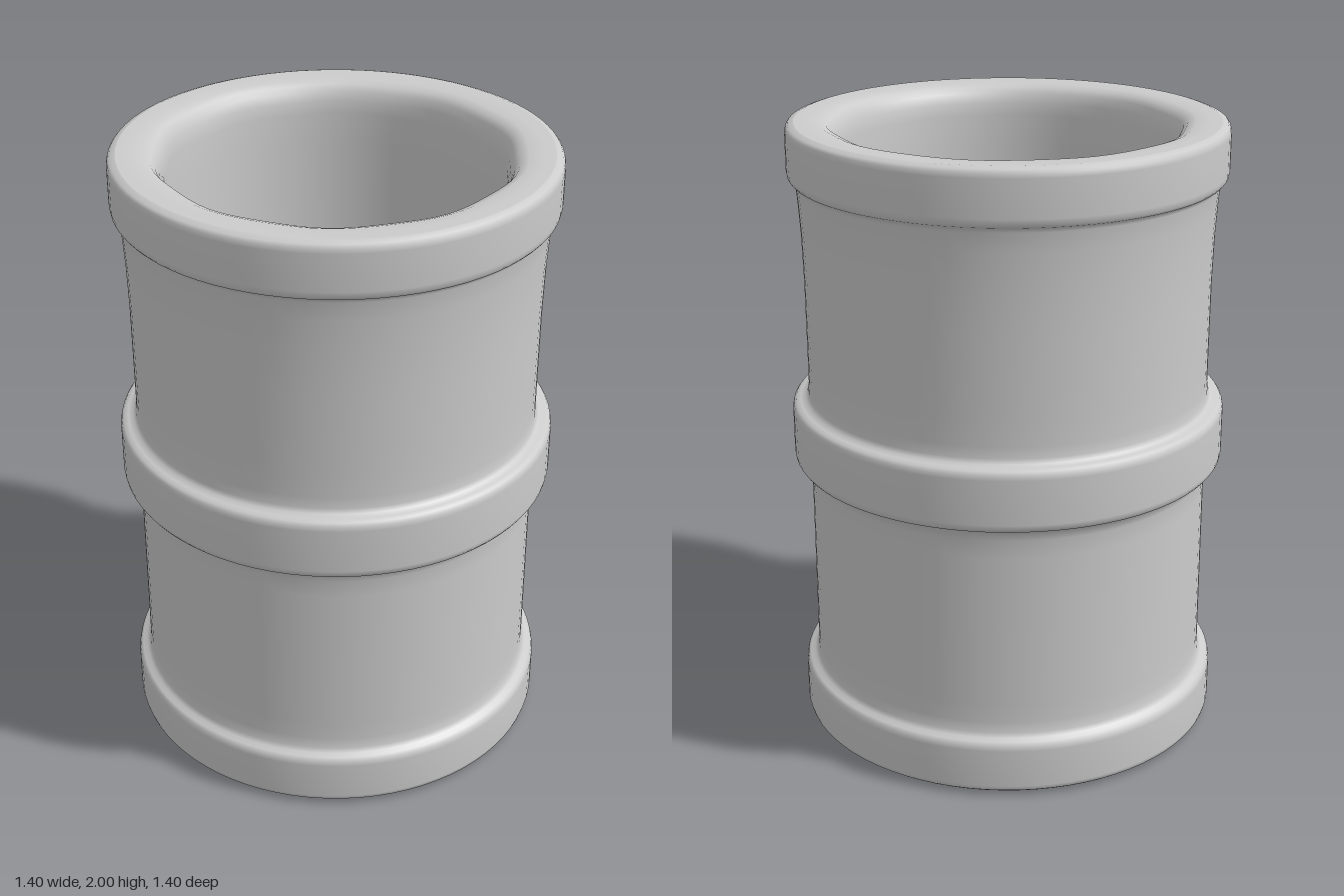
import * as THREE from 'three';

const material = new THREE.MeshStandardMaterial({ color: 0xcccccc });

function lathe(name, points) {
  const profile = points.map(([r, y]) => new THREE.Vector2(r, y));
  const mesh = new THREE.Mesh(new THREE.LatheGeometry(profile, 80, Math.PI / 2), material);
  mesh.name = name;
  return mesh;
}

// Rounded hoop section, listed upwards, blending into the wall at both ends
const hoop = (r, y0, y1) => [
  [r - 0.025, y0], [r - 0.01, y0 + 0.005], [r - 0.003, y0 + 0.015], [r, y0 + 0.03],
  [r, y1 - 0.03], [r - 0.003, y1 - 0.015], [r - 0.01, y1 - 0.005], [r - 0.025, y1],
];

export function createModel() {
  const group = new THREE.Group();
  group.name = 'barrel';

  // Outer shell: base, foot hoop, lower wall, middle hoop, upper wall, rim hoop
  group.add(lathe('outerShell', [
    [0, 0], [0.23, 0.002], [0.6, 0.01], [0.655, 0.01],
    [0.675, 0.013], [0.684, 0.02], [0.688, 0.035],
    [0.688, 0.16], [0.684, 0.177], [0.675, 0.186], [0.66, 0.192],
    [0.65, 0.205], [0.646, 0.24], [0.646, 0.3],
    [0.645, 0.8], [0.647, 0.86], [0.655, 0.89],
    ...hoop(0.698, 0.902, 1.105),
    [0.655, 1.11], [0.648, 1.125], [0.645, 1.16], [0.645, 1.25],
    [0.646, 1.5], [0.65, 1.65], [0.656, 1.75], [0.661, 1.81],
    [0.668, 1.823], [0.678, 1.828], [0.685, 1.837], [0.688, 1.855],
    [0.688, 1.97], [0.685, 1.985], [0.678, 1.994], [0.66, 2],
  ]));

  // Rim top rolling over into the hollow, with a floor near the bottom
  const inner = lathe('rimAndHollow', [
    [0.66, 2], [0.62, 2], [0.58, 1.997], [0.555, 1.988], [0.54, 1.97],
    [0.53, 1.94], [0.525, 1.9], [0.525, 1.8], [0.525, 0.3],
    [0.522, 0.22], [0.51, 0.18], [0.47, 0.16], [0.4, 0.155], [0, 0.155],
  ]);

  // The opening is a softly rounded decagon, fading to a circle on the rim
  const p = inner.geometry.attributes.position;
  for (let i = 0; i < p.count; i++) {
    const x = p.getX(i), z = p.getZ(i), r = Math.hypot(x, z);
    const fade = THREE.MathUtils.clamp((0.62 - r) / 0.09, 0, 1);
    const s = 1 + 0.012 * fade * Math.cos(10 * Math.atan2(z, x));
    p.setX(i, x * s);
    p.setZ(i, z * s);
  }
  group.add(inner);
  return group;
}
